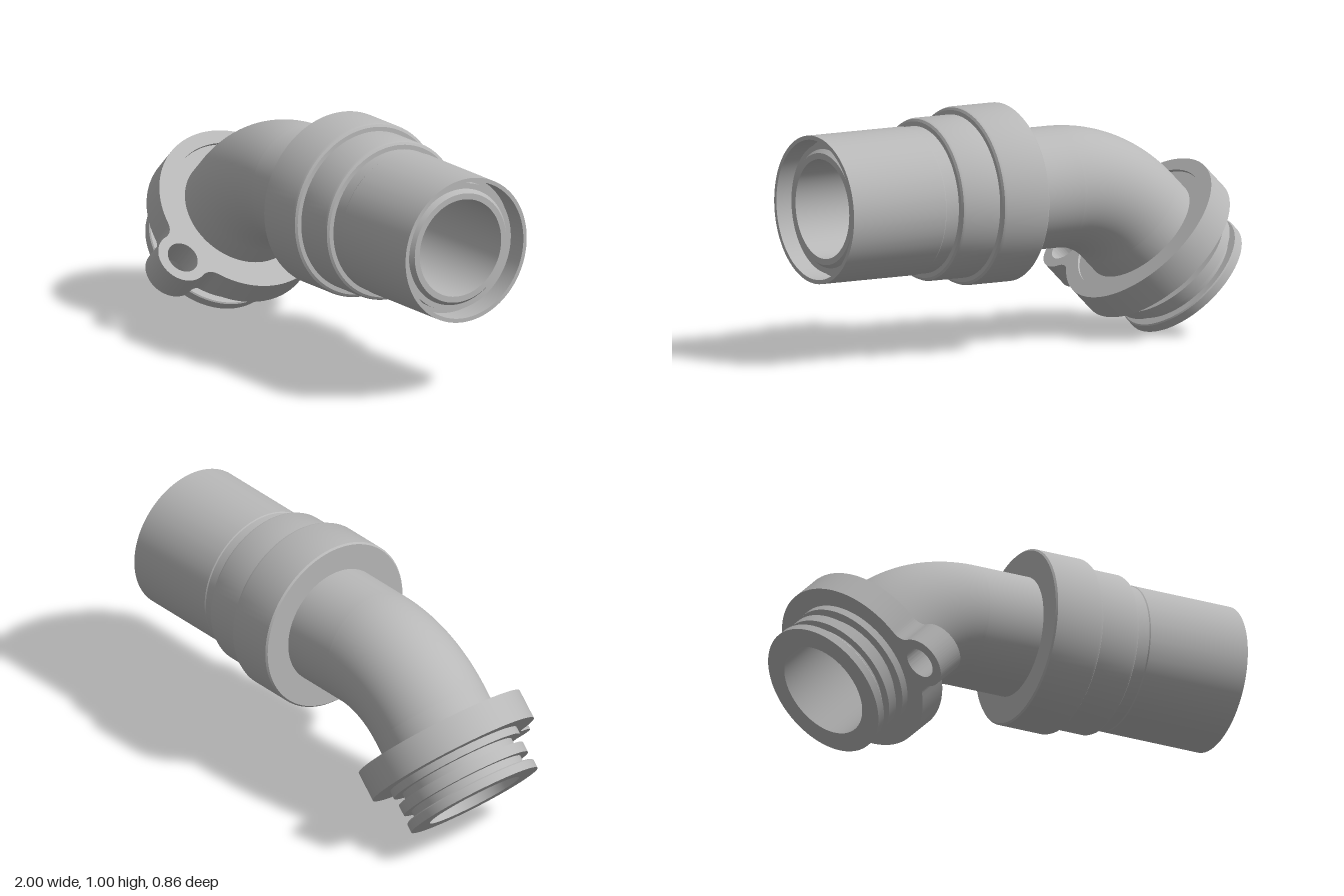
import * as THREE from 'three';
import { toCreasedNormals } from 'three/addons/utils/BufferGeometryUtils.js';

const AXIS_Y = 0.637, AXIS_Z = -0.06;  // height and depth of the pipe axis
const CORNER_X = -0.365;               // where the two straight axes meet
const TANGENT = 0.21;                  // corner to start of the bend
const BEND_R = TANGENT / Math.tan(Math.PI / 8);
const PIPE_R = 0.25, BORE_R = 0.205;

const grey = new THREE.MeshStandardMaterial({ color: 0xb8b8b8, side: THREE.DoubleSide });
grey.name = 'grey metal';

function part(name, geometry, parent) {
  const mesh = new THREE.Mesh(toCreasedNormals(geometry, 0.5), grey);
  mesh.name = name;
  parent.add(mesh);
  return mesh;
}

// Turned part from [radius, distance along axis] pairs
function turned(pairs) {
  return new THREE.LatheGeometry(pairs.map(([r, s]) => new THREE.Vector2(r, s)), 96);
}

// Round flange with one bolt lug blended in by concave fillets
function flangeShape() {
  const R = 0.37, r = 0.11, f = 0.06;
  const lug = new THREE.Vector2(-0.163, 0.38);
  const d = lug.length(), dir = lug.angle();
  const a = Math.acos(((R + f) ** 2 + d * d - (r + f) ** 2) / (2 * d * (R + f)));
  const polar = (t) => new THREE.Vector2(Math.cos(t), Math.sin(t)).multiplyScalar(R + f);
  const f1 = polar(dir - a), f2 = polar(dir + a);
  const angle = (from, to) => to.clone().sub(from).angle();

  const shape = new THREE.Shape();
  shape.absarc(0, 0, R, dir + a, dir - a, false);
  shape.absarc(f1.x, f1.y, f, dir - a + Math.PI, angle(f1, lug), true);
  shape.absarc(lug.x, lug.y, r, angle(lug, f1), angle(lug, f2), false);
  shape.absarc(f2.x, f2.y, f, angle(f2, lug), dir + a + Math.PI, true);
  const bore = new THREE.Path().absarc(0, 0, 0.31, 0, Math.PI * 2, true);
  const bolt = new THREE.Path().absarc(lug.x, lug.y, 0.067, 0, Math.PI * 2, true);
  shape.holes.push(bore, bolt);
  return shape;
}

export function createModel() {
  const model = new THREE.Group();
  model.name = 'pipeElbow';

  // Horizontal run: pipe, stepped collar, sleeve and recessed inner tube
  const start = CORNER_X + TANGENT;
  const run = part('sleeveAndCollar', turned([
    [PIPE_R, start], [PIPE_R, 0.09],
    [0.36, 0.09], [0.367, 0.097], [0.367, 0.295], [0.363, 0.306], [0.353, 0.312],
    [0.335, 0.312], [0.335, 0.475], [0.331, 0.485], [0.321, 0.491],
    [0.302, 0.491], [0.302, 0.55], [0.305, 0.555], [0.305, 1],
    [0.288, 1], [0.288, 0.9], [0.268, 0.9], [0.268, 0.94],
    [0.245, 0.94], [0.23, 0.96], [BORE_R, 0.96], [BORE_R, start],
  ]), model);
  run.rotation.z = -Math.PI / 2;
  run.position.set(0, AXIS_Y, AXIS_Z);

  // 45 degree bend, outer skin and bore
  for (const [name, r] of [['bendOuter', PIPE_R], ['bendBore', BORE_R]]) {
    const bend = part(name, new THREE.TorusGeometry(BEND_R, r, 96, 32, Math.PI / 4), model);
    bend.rotation.z = Math.PI / 2;
    bend.position.set(start, AXIS_Y - BEND_R, AXIS_Z);
  }

  // Flanged end, local y runs down the tilted axis
  const end = new THREE.Group();
  end.name = 'flangedEnd';
  end.position.set(CORNER_X, AXIS_Y, AXIS_Z);
  end.rotation.z = Math.PI * 3 / 4;
  model.add(end);

  part('grooveSpigot', turned([
    [PIPE_R, TANGENT], [PIPE_R, 0.302], [0.32, 0.302], [0.32, 0.41],
    [0.29, 0.41], [0.29, 0.45], [0.25, 0.45], [0.25, 0.485],
    [0.285, 0.485], [0.285, 0.53], [0.25, 0.53], [0.25, 0.565],
    [0.285, 0.565], [0.29, 0.57], [0.29, 0.606],
    [BORE_R, 0.606], [BORE_R, TANGENT],
  ]), end);

  const flange = new THREE.ExtrudeGeometry(flangeShape(), {
    depth: 0.127, bevelEnabled: false, curveSegments: 48,
  });
  flange.rotateX(Math.PI / 2).translate(0, 0.417, 0);
  part('flange', flange, end);
  // Close the seat between spigot and flange
  part('flangeSeat', turned([[0.28, 0.417], [0.32, 0.417]]), end);

  return model;
}
